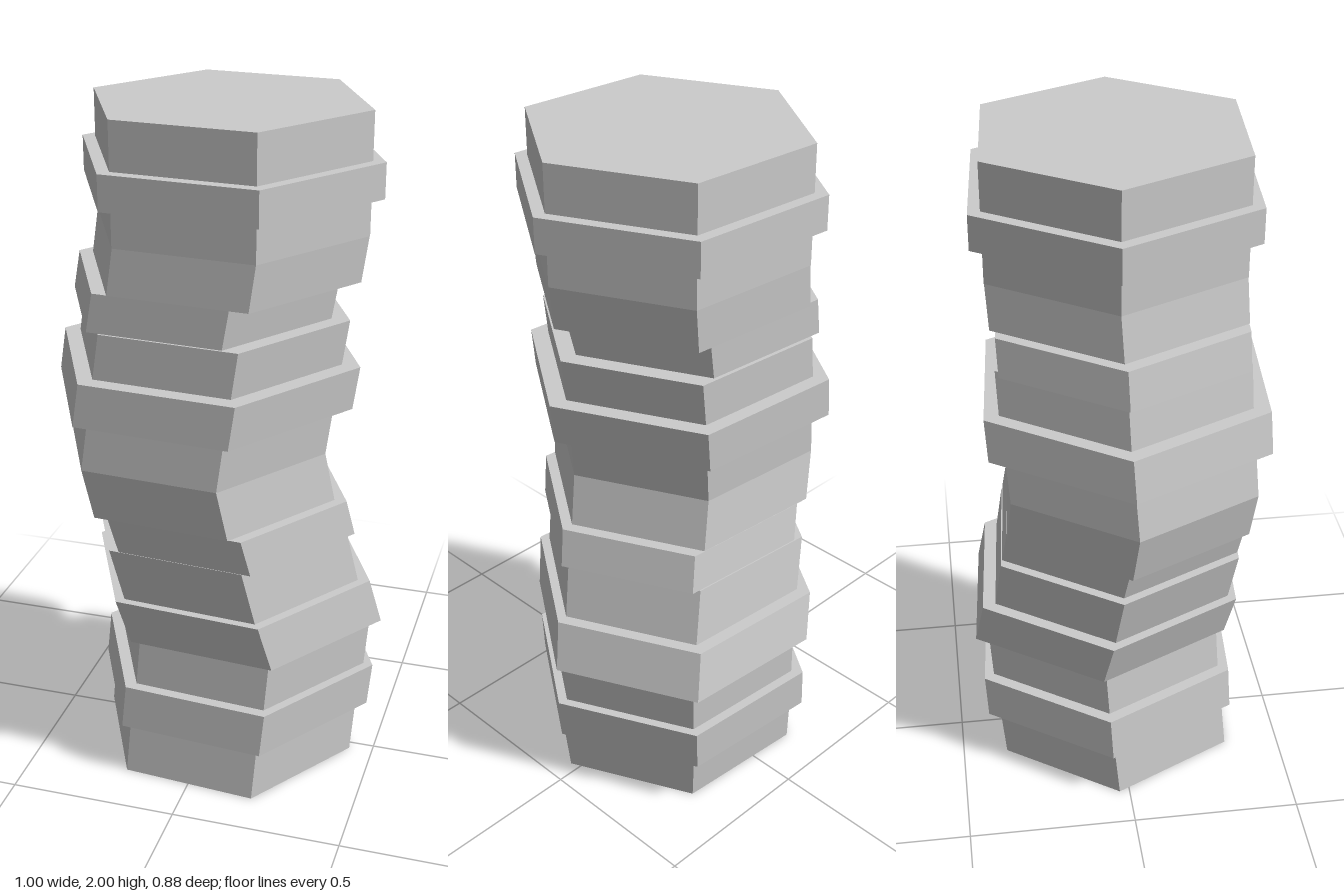
import * as THREE from 'three';

// Each block: [bottom y, top y, radius, bottom x, bottom z, top x, top z]
const BLOCKS = [
  [0.00, 0.165, 0.403, 0.027, 0.0, 0.038, -0.015],
  [0.165, 0.30, 0.437, 0.038, -0.02, 0.05, -0.027],
  [0.30, 0.45, 0.403, 0.055, -0.028, 0.066, -0.037],
  [0.45, 0.595, 0.438, 0.065, -0.045, 0.03, -0.02],
  [0.595, 0.76, 0.403, 0.03, -0.013, -0.005, 0.007],
  [0.76, 0.87, 0.4, 0.022, 0.01, -0.002, 0.026],
  [0.87, 1.02, 0.402, -0.04, 0.026, -0.068, 0.04],
  [1.02, 1.165, 0.402, -0.068, 0.04, -0.05, 0.03],
  [1.165, 1.29, 0.453, -0.047, 0.03, -0.03, 0.023],
  [1.29, 1.42, 0.402, -0.033, 0.02, -0.015, 0.015],
  [1.42, 1.53, 0.392, -0.058, 0.014, -0.04, 0.01],
  [1.53, 1.66, 0.402, 0.01, 0.007, 0.027, 0.0],
  [1.66, 1.765, 0.403, 0.027, 0.0, 0.027, 0.0],
  [1.765, 1.865, 0.441, 0.026, 0.0, 0.026, 0.0],
  [1.865, 2.00, 0.403, 0.027, 0.0, 0.027, 0.0],
];

const TURN = THREE.MathUtils.degToRad(85.7);

// Hexagonal prism sheared so its two ends sit on different centres
function leaningPrism([y0, y1, r, x0, z0, x1, z1]) {
  const geo = new THREE.CylinderGeometry(r, r, y1 - y0, 6, 1, false, TURN);
  geo.translate(0, (y0 + y1) / 2, 0);
  const pos = geo.attributes.position;
  for (let i = 0; i < pos.count; i++) {
    const t = (pos.getY(i) - y0) / (y1 - y0);
    pos.setX(i, pos.getX(i) + THREE.MathUtils.lerp(x0, x1, t));
    pos.setZ(i, pos.getZ(i) + THREE.MathUtils.lerp(z0, z1, t));
  }
  geo.computeVertexNormals();
  return geo;
}

export function createModel() {
  const column = new THREE.Group();
  column.name = 'hexagonalColumn';
  const material = new THREE.MeshStandardMaterial({ color: 0xcccccc, flatShading: true });

  // Stack of blocks; the wider ones are collars
  BLOCKS.forEach((block, i) => {
    const mesh = new THREE.Mesh(leaningPrism(block), material);
    mesh.name = (block[2] > 0.42 ? 'collar' : 'columnBlock') + (i + 1);
    column.add(mesh);
  });
  return column;
}
